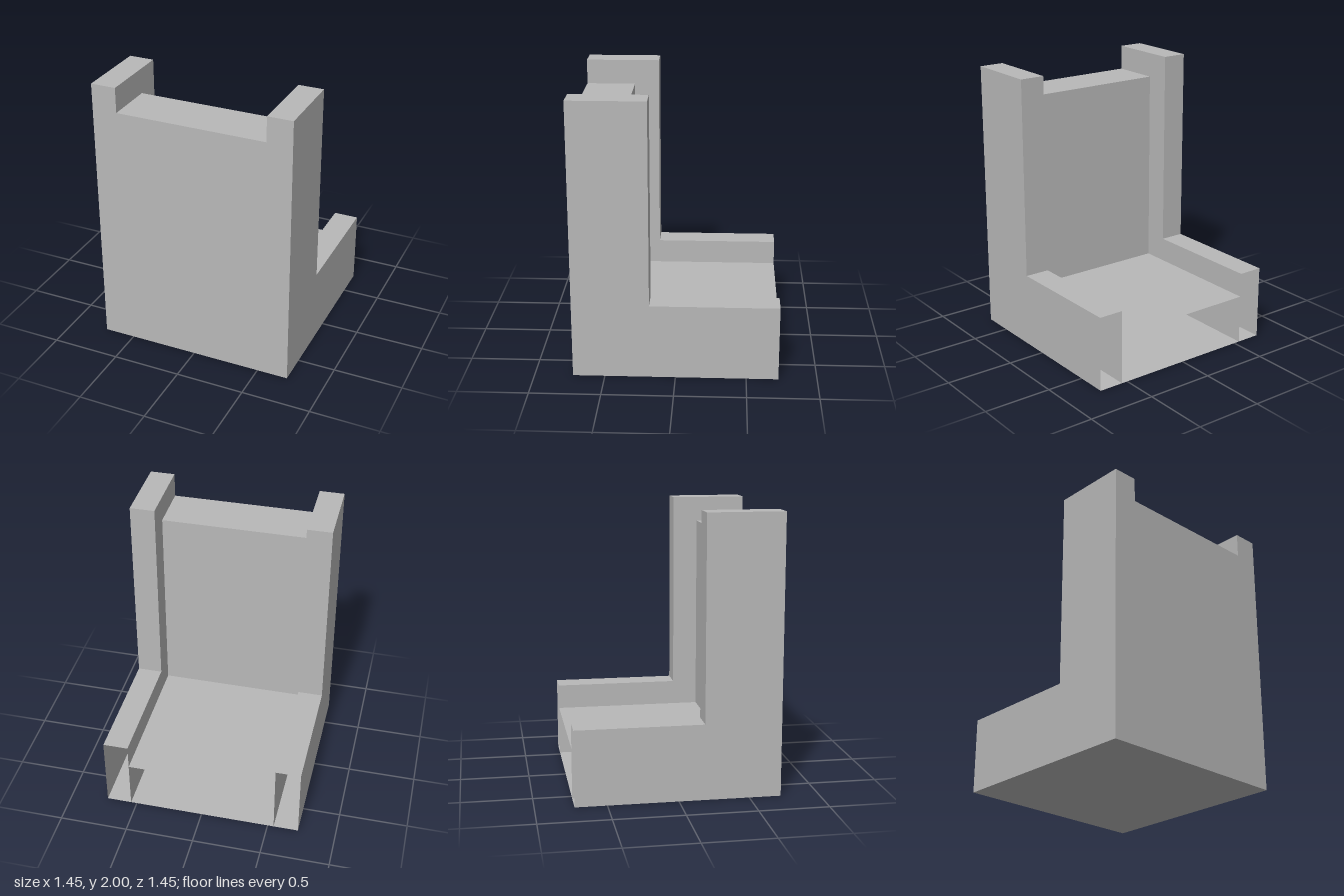
import * as THREE from 'three';

const grey = new THREE.MeshStandardMaterial({ color: 0xb8b8b8, side: THREE.DoubleSide });
grey.name = 'grey';

// L-shaped [z, y] profile whose last edge, at the seat's open end, is left out
const lProfile = (step, seatHeight, height) => [
  [-0.727, 0], [0.727, 0], [0.727, height], [step, height], [step, seatHeight], [-0.727, seatHeight],
];

// Open-ended skin running along the profile from x0 to x1
function skin(name, profile, x0, x1) {
  const positions = [];
  for (let i = 0; i < profile.length - 1; i++) {
    const [az, ay] = profile[i];
    const [bz, by] = profile[i + 1];
    positions.push(x0, ay, az, x1, ay, az, x1, by, bz);
    positions.push(x0, ay, az, x1, by, bz, x0, by, bz);
  }
  const geometry = new THREE.BufferGeometry();
  geometry.setAttribute('position', new THREE.Float32BufferAttribute(positions, 3));
  geometry.computeVertexNormals();
  const mesh = new THREE.Mesh(geometry, grey);
  mesh.name = name;
  return mesh;
}

// Flat side wall filling the profile at one x
function sideWall(name, profile, x) {
  const shape = new THREE.Shape(profile.map(([z, y]) => new THREE.Vector2(z, y)));
  const geometry = new THREE.ShapeGeometry(shape).rotateY(-Math.PI / 2).translate(x, 0, 0);
  const mesh = new THREE.Mesh(geometry, grey);
  mesh.name = name;
  return mesh;
}

export function createModel() {
  const model = new THREE.Group();
  model.name = 'chair';
  const inner = 0.545, outer = 0.727;

  // Seat and backrest between the arms
  model.add(skin('seatAndBackrest', lProfile(0.364, 0.364, 1.818), -inner, inner));

  // Hollow arms with tall posts
  const armProfile = lProfile(0.182, 0.545, 2);
  for (const side of [-1, 1]) {
    const arm = new THREE.Group();
    arm.name = side > 0 ? 'leftArm' : 'rightArm';
    const [x0, x1] = side > 0 ? [inner, outer] : [-outer, -inner];
    arm.add(
      skin('armSkin', armProfile, x0, x1),
      sideWall('innerWall', armProfile, side * inner),
      sideWall('outerWall', armProfile, side * outer),
    );
    model.add(arm);
  }
  return model;
}
